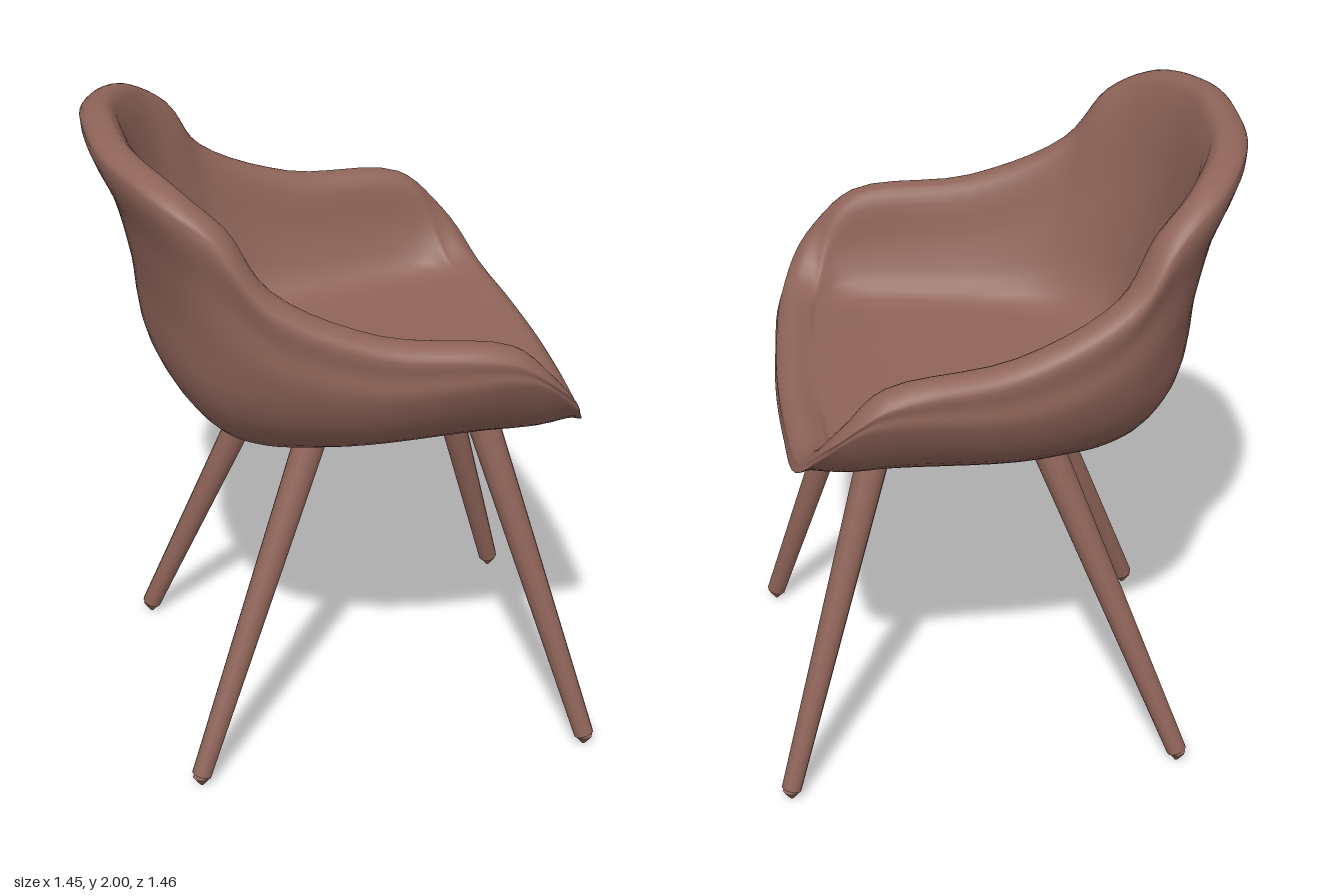
import * as THREE from 'three';
import { mergeVertices } from 'three/addons/utils/BufferGeometryUtils.js';

const V = (x, y, z) => new THREE.Vector3(x, y, z);

// Half outlines from back centre to front centre: rim crest, outer bulge, underside edge, seat floor edge
const RIM = [[-.685, 2, 0], [-.665, 1.99, .22], [-.56, 1.945, .44], [-.43, 1.85, .54], [-.3, 1.67, .59], [0, 1.53, .645],
  [.38, 1.48, .685], [.51, 1.36, .655], [.58, 1.23, .54], [.61, 1.205, .28], [.62, 1.2, 0]];
const BULGE = [[-.6, 1.55, 0], [-.57, 1.55, .26], [-.48, 1.5, .47], [-.37, 1.45, .58], [-.24, 1.4, .635], [0, 1.36, .685],
  [.42, 1.38, .722], [.56, 1.27, .66], [.635, 1.16, .54], [.66, 1.125, .28], [.67, 1.12, 0]];
const BASE = [[-.42, 1.09, 0], [-.4, 1.09, .2], [-.35, 1.09, .32], [-.26, 1.08, .37], [-.15, 1.08, .4], [0, 1.08, .42],
  [.33, 1.1, .44], [.5, 1.1, .43], [.59, 1.095, .36], [.62, 1.085, .2], [.63, 1.085, 0]];
const FLOOR = [[-.4, 1.2, 0], [-.38, 1.2, .2], [-.33, 1.2, .3], [-.26, 1.19, .37], [-.16, 1.18, .42], [0, 1.18, .46],
  [.33, 1.18, .53], [.45, 1.18, .52], [.51, 1.18, .45], [.53, 1.18, .26], [.535, 1.18, 0]];

// Mirror a half outline into a closed smooth loop
function loop(half) {
  const pts = half.map(p => V(...p));
  const back = half.slice(1, -1).reverse().map(([x, y, z]) => V(x, y, -z));
  return new THREE.CatmullRomCurve3([...pts, ...back], true);
}

// One-piece bucket: a profile running under, over the rim and into the seat, swept round the loops
function shellGeometry(around = 100, along = 52) {
  const rim = loop(RIM), bulge = loop(BULGE), base = loop(BASE), floor = loop(FLOOR);
  const pos = [], index = [];
  for (let i = 0; i < around; i++) {
    const t = i / around;
    const r = rim.getPoint(t), m = bulge.getPoint(t), b = base.getPoint(t), f = floor.getPoint(t);
    const tan = rim.getTangent(t);
    const out = V(-tan.z, 0, tan.x).normalize();
    const shift = (p, d, dy = 0) => p.clone().addScaledVector(out, d).add(V(0, dy, 0));
    // outer wall: full near the seat, slightly hollow below the crest of the backrest
    const lower = shift(b.clone().lerp(m, .45), .06 * Math.min(1, (m.y - b.y) / .25));
    const rimOut = shift(r, .042, -.03);
    const upper = shift(m.clone().lerp(rimOut, .5), -.03 * (r.y - m.y) * Math.max(0, -out.x));
    // inner wall: drops from the rim to the edge of the seat floor
    const rimIn = shift(r, -.055, -.014);
    const innerMid = shift(f.clone().lerp(rimIn, .45), .02 * Math.min(1, (r.y - f.y) / .3));
    const profile = new THREE.CatmullRomCurve3([
      V(.05, 1.04, 0),
      V(.05, 1.04, 0).lerp(b, .6).setY(1.035 + Math.max(0, b.x) * .07),
      b, lower, m, upper, rimOut, r, rimIn, innerMid, f,
      V(.05, 0, 0).lerp(f, .55).setY(1.16),
      V(.05, 1.155, 0)]);
    for (let j = 0; j <= along; j++) {
      const p = profile.getPoint(j / along);
      pos.push(p.x, p.y, p.z);
    }
  }
  const at = (i, j) => (i % around) * (along + 1) + j;
  for (let i = 0; i < around; i++) {
    for (let j = 0; j < along; j++) {
      const a = at(i, j), b = at(i + 1, j), c = at(i + 1, j + 1), d = at(i, j + 1);
      if (j > 0) index.push(a, b, c);
      if (j < along - 1) index.push(a, c, d);
    }
  }
  let g = new THREE.BufferGeometry();
  g.setAttribute('position', new THREE.Float32BufferAttribute(pos, 3));
  g.setIndex(index);
  g = mergeVertices(g, 1e-5);
  g.computeVertexNormals();
  return g;
}

// Tapered round leg between two points, with a small pointed glide under it
function makeLeg(name, top, foot, material) {
  const leg = new THREE.Group();
  leg.name = name;
  const dir = top.clone().sub(foot);
  const post = new THREE.Mesh(new THREE.CylinderGeometry(.05, .031, dir.length(), 12), material);
  post.name = 'legPost';
  post.position.copy(top).add(foot).multiplyScalar(.5);
  post.quaternion.setFromUnitVectors(V(0, 1, 0), dir.normalize());
  const glide = new THREE.Mesh(new THREE.CylinderGeometry(.028, .006, .03, 8), material);
  glide.name = 'footGlide';
  glide.position.set(foot.x, .015, foot.z);
  leg.add(post, glide);
  return leg;
}

export function createModel() {
  const chair = new THREE.Group();
  chair.name = 'tubChair';
  const brown = new THREE.MeshStandardMaterial({ color: 0x8f6459 });
  brown.name = 'warmBrown';

  const shell = new THREE.Mesh(shellGeometry(), brown);
  shell.name = 'seatShell';
  chair.add(shell);

  // Splayed legs; the open side of the seat is +x
  for (const s of [1, -1]) {
    const side = s > 0 ? 'A' : 'B';
    chair.add(makeLeg('frontLeg' + side, V(.385, 1.11, s * .31), V(.695, .035, s * .555), brown));
    chair.add(makeLeg('rearLeg' + side, V(-.115, 1.08, s * .285), V(-.52, .035, s * .51), brown));
  }
  return chair;
}
